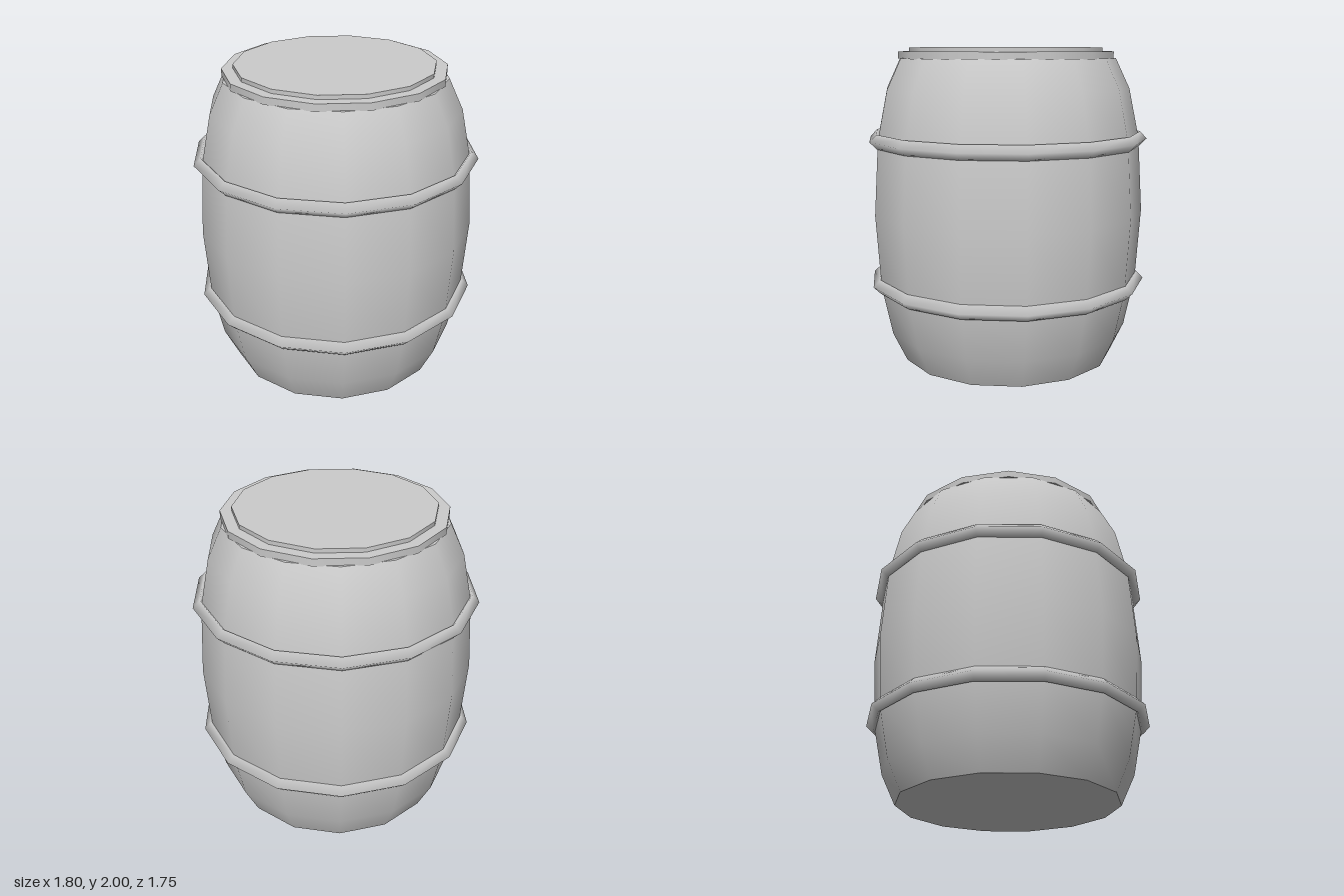
import * as THREE from 'three';

const SIDES = 14;

export function createModel() {
  const barrel = new THREE.Group();
  barrel.name = 'barrel';
  const grey = new THREE.MeshStandardMaterial({ color: 0xcccccc });
  grey.name = 'grey';

  const add = (name, geometry, y = 0) => {
    const mesh = new THREE.Mesh(geometry, grey);
    mesh.name = name;
    mesh.position.y = y;
    barrel.add(mesh);
  };

  // Bulging body, with corners on the x axis
  const profile = [
    [0.69, 0], [0.78, 0.19], [0.845, 0.5], [0.875, 0.967],
    [0.845, 1.434], [0.78, 1.744], [0.69, 1.934],
  ].map(([r, y]) => new THREE.Vector2(r, y));
  add('body', new THREE.LatheGeometry(profile, SIDES, Math.PI / 2));

  // Flat ends of the body
  add('bottom', new THREE.CircleGeometry(0.69, SIDES).rotateX(Math.PI / 2));
  add('bodyTop', new THREE.CircleGeometry(0.69, SIDES).rotateX(-Math.PI / 2), 1.934);

  // Ridged hoops
  for (const [name, y] of [['lowerHoop', 0.508], ['upperHoop', 1.428]]) {
    add(name, new THREE.TorusGeometry(0.853, 0.045, 4, SIDES).rotateX(Math.PI / 2), y);
  }

  // Stepped lid, with corners on the z axis
  add('lidRim', new THREE.CylinderGeometry(0.688, 0.688, 0.045, SIDES), 1.9525);
  add('lidPanel', new THREE.CylinderGeometry(0.618, 0.618, 0.025, SIDES), 1.9875);

  return barrel;
}
